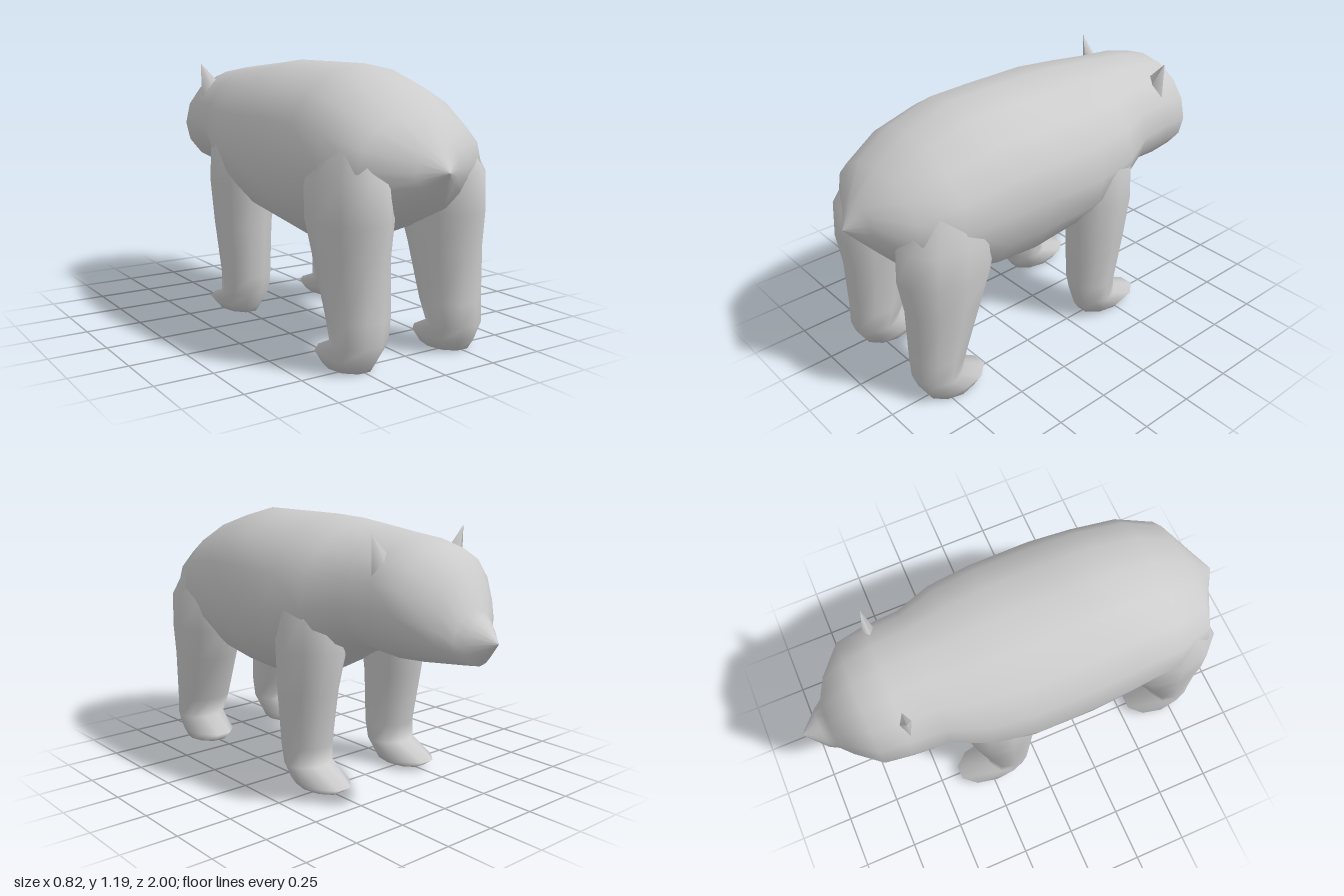
import * as THREE from 'three';

const fur = new THREE.MeshStandardMaterial({ color: 0xcccccc });
fur.name = 'grey fur';

// Smooth skin over closed rings of points, each ring being an array of [x, y, z]
function loft(rings) {
  const n = rings[0].length, index = [];
  for (let i = 0; i < rings.length - 1; i++) {
    for (let j = 0; j < n; j++) {
      const a = i * n + j, b = i * n + (j + 1) % n;
      index.push(a, a + n, b, b, a + n, b + n);
    }
  }
  const geometry = new THREE.BufferGeometry();
  geometry.setAttribute('position', new THREE.Float32BufferAttribute(rings.flat(2), 3));
  geometry.setIndex(index);
  geometry.computeVertexNormals();
  return geometry;
}

function ring(n, point) {
  return Array.from({ length: n }, (_, j) => {
    const a = (j / n) * Math.PI * 2;
    return point(Math.cos(a), Math.sin(a));
  });
}

function part(name, geometry) {
  const mesh = new THREE.Mesh(geometry, fur);
  mesh.name = name;
  return mesh;
}

// Trunk and head sections, tail to nose: z, bottom, widest height, top, half width
const bodySections = [
  [1.0, 0.80, 0.80, 0.80, 0],
  [0.93, 0.72, 0.80, 0.90, 0.11],
  [0.83, 0.61, 0.80, 1.02, 0.31],
  [0.66, 0.52, 0.81, 1.125, 0.375],
  [0.44, 0.43, 0.82, 1.195, 0.395],
  [0.24, 0.42, 0.83, 1.197, 0.41],
  [-0.05, 0.47, 0.82, 1.2, 0.41],
  [-0.25, 0.59, 0.84, 1.18, 0.385],
  [-0.42, 0.65, 0.87, 1.165, 0.315],
  [-0.58, 0.635, 0.88, 1.15, 0.305],
  [-0.71, 0.645, 0.87, 1.12, 0.285],
  [-0.82, 0.655, 0.82, 1.02, 0.18],
  [-0.87, 0.66, 0.77, 0.89, 0.115],
  [-0.91, 0.665, 0.76, 0.855, 0.09],
  [-1.0, 0.77, 0.77, 0.77, 0],
];

// Leg sections, sole to hip: y, inner x, outer x, toe z, heel z
const hindSections = [
  [0.01, 0.24, 0.24, 0.70, 0.70],
  [0.01, 0.16, 0.345, 0.58, 0.82],
  [0.055, 0.14, 0.365, 0.53, 0.85],
  [0.12, 0.125, 0.365, 0.66, 0.87],
  [0.22, 0.105, 0.37, 0.625, 0.87],
  [0.45, 0.095, 0.385, 0.53, 0.875],
  [0.60, 0.08, 0.395, 0.46, 0.90],
  [0.76, 0.08, 0.395, 0.46, 0.89],
  [0.92, 0.10, 0.33, 0.50, 0.80],
];
const frontSections = [
  [0.02, 0.25, 0.25, -0.22, -0.22],
  [0.02, 0.17, 0.34, -0.36, -0.09],
  [0.055, 0.15, 0.365, -0.41, -0.065],
  [0.115, 0.14, 0.37, -0.25, -0.05],
  [0.20, 0.14, 0.37, -0.255, -0.025],
  [0.45, 0.13, 0.39, -0.30, -0.01],
  [0.64, 0.10, 0.40, -0.335, 0.0],
  [0.82, 0.10, 0.395, -0.335, 0.02],
  [0.97, 0.14, 0.33, -0.27, -0.02],
];

function leg(sections, side) {
  return loft(sections.map(([y, inner, outer, toe, heel]) => ring(10, (c, s) => [
    side * (inner + outer) / 2 + c * (outer - inner) / 2,
    y,
    (toe + heel) / 2 + s * (heel - toe) / 2,
  ])));
}

export function createModel() {
  const model = new THREE.Group();
  model.name = 'bear';

  // Trunk, tail, head and muzzle in one skin
  model.add(part('bodyAndHead', loft(bodySections.map(([z, bottom, mid, top, half]) =>
    ring(16, (c, s) => [half * c, mid + s * (s > 0 ? top - mid : mid - bottom), z])))));

  for (const side of [1, -1]) {
    const label = side > 0 ? 'left' : 'right';
    model.add(part(label + 'HindLeg', leg(hindSections, side)));
    model.add(part(label + 'FrontLeg', leg(frontSections, side)));

    // Small pointed ear leaning outward
    const ear = part(label + 'Ear', new THREE.ConeGeometry(1, 1, 4));
    ear.scale.set(0.065, 0.16, 0.035);
    ear.position.set(side * 0.235, 1.1, -0.565);
    ear.rotation.z = -side * 0.4;
    model.add(ear);
  }
  return model;
}
